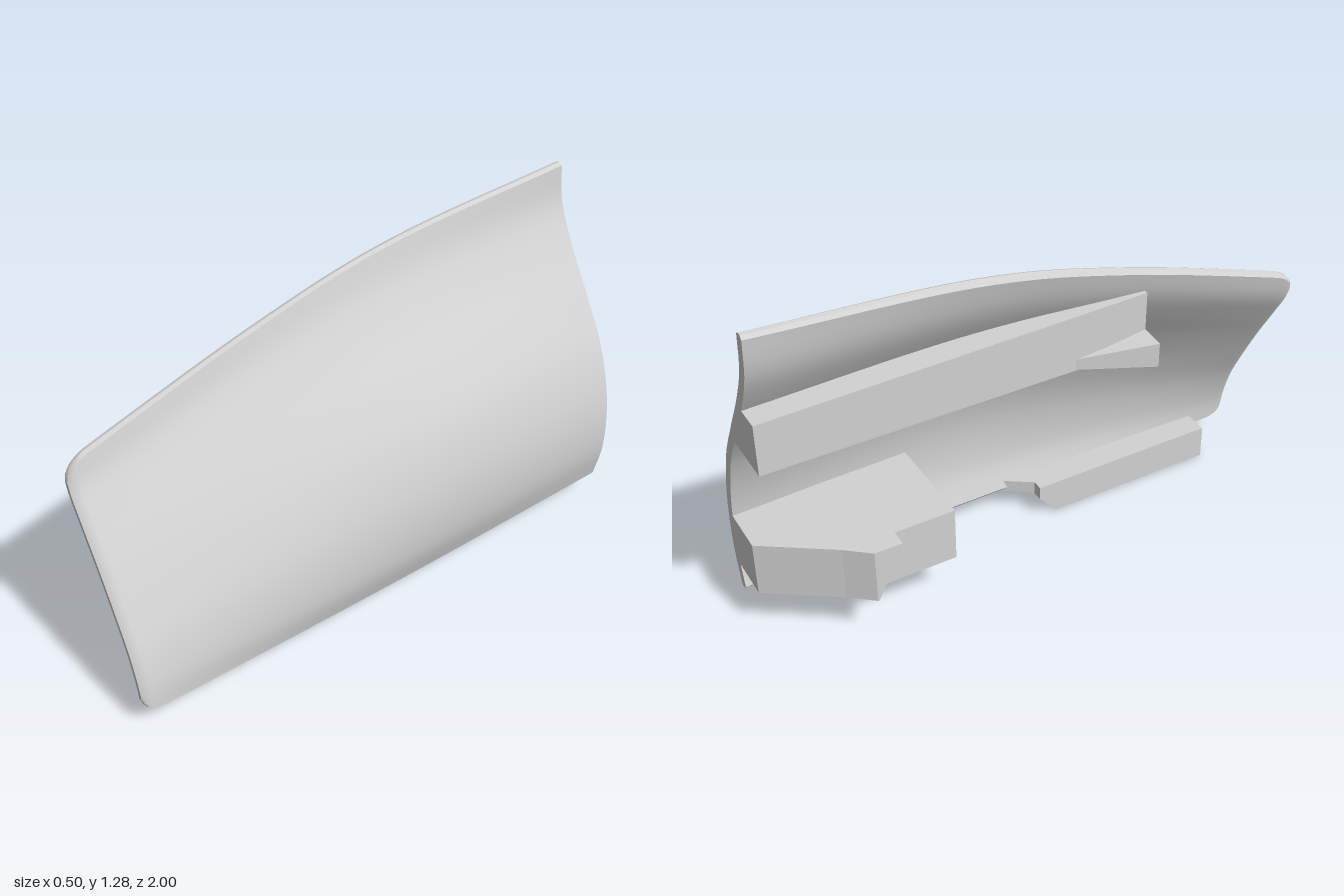
import * as THREE from 'three';
import { toCreasedNormals } from 'three/addons/utils/BufferGeometryUtils.js';

const grey = new THREE.MeshStandardMaterial({ color: 0xd2d2d2 });
grey.name = 'light grey';

// Skin rings of [x, y, z] (clockwise seen from the last ring's side) and cap both ends.
function loft(rings) {
  const R = rings[0].length, last = (rings.length - 1) * R, index = [];
  for (let i = 0; i < rings.length - 1; i++) {
    for (let k = 0; k < R; k++) {
      const a = i * R + k, b = i * R + (k + 1) % R;
      index.push(a, a + R, b, b, a + R, b + R);
    }
  }
  for (let j = 0; j < R / 2 - 1; j++) {
    const a = j, b = j + 1, c = R - 2 - j, d = R - 1 - j;
    index.push(a, b, c, a, c, d);
    index.push(last + a, last + c, last + b, last + a, last + d, last + c);
  }
  const g = new THREE.BufferGeometry();
  g.setAttribute('position', new THREE.Float32BufferAttribute(rings.flat(2), 3));
  g.setIndex(index);
  return toCreasedNormals(g, 0.6);
}

// Plan outline of [x, z] raised from y0 to y1.
function plan(points, y0, y1) {
  const shape = new THREE.Shape(points.map(([x, z]) => new THREE.Vector2(x, -z)));
  const g = new THREE.ExtrudeGeometry(shape, { depth: y1 - y0, bevelEnabled: false });
  return g.rotateX(-Math.PI / 2).translate(0, y0, 0);
}

// Side outline of [z, y] carried from x0 to x1.
function side(points, x0, x1) {
  const shape = new THREE.Shape(points.map(([z, y]) => new THREE.Vector2(-z, y)));
  const g = new THREE.ExtrudeGeometry(shape, { depth: x1 - x0, bevelEnabled: false });
  return g.rotateY(Math.PI / 2).translate(x0, 0, 0);
}

// Outer [x, y] profiles of the shell, top to bottom, at four stations.
const stations = [
  [-1, [[-0.132, 1.27], [-0.115, 1.14], [-0.05, 1.0], [0.05, 0.835], [0.148, 0.66], [0.21, 0.445], [0.217, 0.24], [0.185, 0.092]]],
  [-0.25, [[-0.132, 1.22], [-0.1, 1.11], [-0.02, 0.97], [0.085, 0.82], [0.18, 0.655], [0.24, 0.43], [0.238, 0.22], [0.2, 0.092]]],
  [0.3, [[-0.132, 1.1], [-0.105, 1.01], [-0.035, 0.89], [0.055, 0.755], [0.145, 0.59], [0.21, 0.4], [0.226, 0.2], [0.203, 0.092]]],
  [1, [[-0.132, 0.88], [-0.112, 0.8], [-0.06, 0.705], [0.01, 0.585], [0.08, 0.455], [0.15, 0.31], [0.19, 0.18], [0.2, 0.092]]],
];

function shellGeometry() {
  const T = 0.038, n = 30, corner = 0.09;
  const rails = stations[0][1].map((_, j) => new THREE.CatmullRomCurve3(
    stations.map(([z, p]) => new THREE.Vector3(p[j][0], p[j][1], z)), false, 'catmullrom', 0.5));
  const steps = [];
  for (let i = 0; i < 27; i++) steps.push(i / 28);
  steps.push(0.965, 0.975, 0.985, 0.992, 0.997, 1);

  const rings = steps.map((s) => {
    const ctrl = rails.map((r) => r.getPoint(s));
    const z = ctrl[0].z;
    const profile = new THREE.CatmullRomCurve3(ctrl.map((p) => new THREE.Vector3(p.x, p.y, 0)));
    // Round the two front corners and soften the front rim.
    const q = Math.min(1, Math.max(0, (z - (1 - corner)) / corner));
    const cut = 0.06 * (1 - Math.sqrt(1 - q * q)) / profile.getLength();
    const e = z > 0.98 ? 0.011 * (z - 0.98) / 0.02 : 0;
    const outer = [], inner = [];
    let first, end;
    for (let j = 0; j <= n; j++) {
      const t = cut + (1 - 2 * cut) * j / n;
      const p = profile.getPointAt(t), d = profile.getTangentAt(t);
      const at = (off, along) => [p.x + d.y * off + d.x * along, p.y - d.x * off + d.y * along, z];
      outer.push(at(e, 0));
      inner.unshift(at(T - e, 0));
      if (j === 0) first = [at(T * 0.32, -0.01), at(T * 0.68, -0.01)];
      if (j === n) end = [at(T * 0.32, 0.008), at(T * 0.68, 0.008)];
    }
    return [first[0], ...outer, ...end, ...inner, first[1]];
  });
  return loft(rings);
}

export function createModel() {
  const group = new THREE.Group();
  const add = (name, geometry) => {
    const mesh = new THREE.Mesh(geometry, grey);
    mesh.name = name;
    group.add(mesh);
  };

  add('curvedShell', shellGeometry());

  // Upper rail on the inside, with its back following the shell
  const rail = [[-1, 0.97, -0.055, 0.05], [-0.3, 0.985, -0.05, 0.08], [0.37, 1.0, -0.125, 0.015]].map(
    ([z, y, top, bottom]) => [[-0.165, y, z], [top, y, z], [bottom, 0.787, z], [-0.165, 0.787, z]]);
  add('upperRail', loft(rail));

  // Wedge that grows out of the rail towards the front
  add('upperCatch', loft([
    [[-0.165, 0.83, 0.1], [-0.1, 0.83, 0.1], [-0.1, 0.79, 0.1], [-0.165, 0.79, 0.1]],
    [[-0.25, 0.85, 0.37], [-0.08, 0.87, 0.37], [-0.04, 0.76, 0.37], [-0.25, 0.76, 0.37]],
  ]));

  // Lower block, and a catch on its inner face with a slanted front end
  add('lowerBlock', plan([[0.185, -1], [0.008, -1], [-0.165, -0.75], [-0.165, -0.36], [0.2, -0.36]], 0.187, 0.39));
  add('lowerCatch', loft([[0.187, -0.675], [0.39, -0.58]].map(([y, z]) =>
    [[-0.15, y, -0.77], [-0.15, y, z], [-0.225, y, z], [-0.225, y, -0.68]])));

  // Bottom foot: a flange out of the shell and a downward lip
  add('footFlange', plan([[0.11, 0.11], [0.11, 0.84], [0.185, 0.84], [0.185, 0]], 0.083, 0.13));
  add('footLip', side([[0.84, 0], [0.18, 0], [0.11, 0.08], [0.11, 0.13], [0.84, 0.13]], 0.07, 0.11));

  return group;
}
